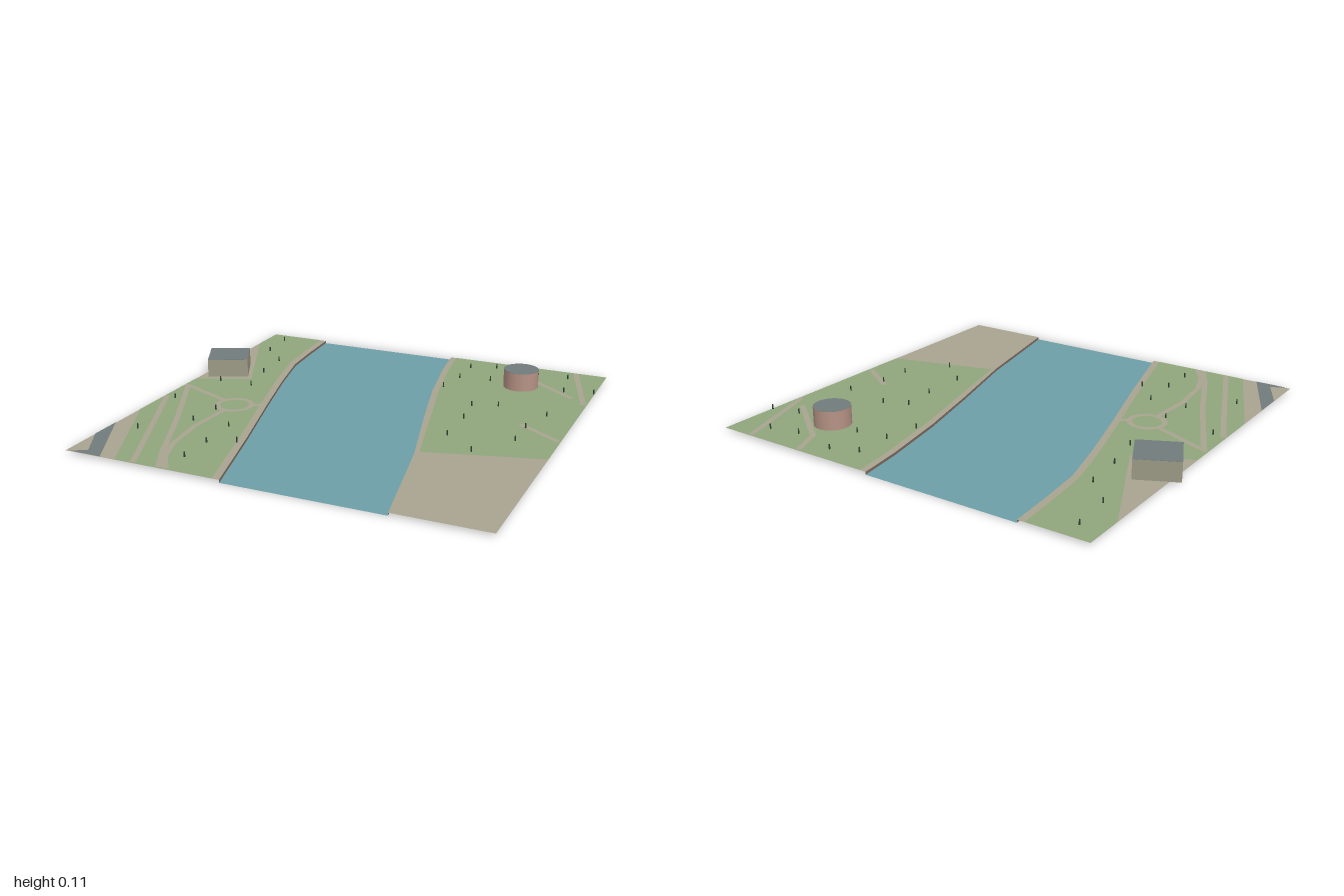
import * as THREE from 'three';

const mat = (name, color, double = true) => {
  const m = new THREE.MeshStandardMaterial({ color });
  m.name = name;
  if (double) m.side = THREE.DoubleSide;
  return m;
};

export function createModel() {
  const model = new THREE.Group();
  model.name = 'riverPark';
  const earth = mat('tan earth', 0xa8a48f), grass = mat('grass green', 0x8fa67b);
  const water = mat('river blue', 0x6d9ea8), slate = mat('slate grey', 0x717b7c);
  const stone = mat('olive wall', 0x9c9a84, false), brick = mat('pale brick', 0xb59284, false);
  const quay = mat('embankment brown', 0x7d6a60), leaf = mat('dark foliage', 0x2c4030, false);

  const GROUND = 0.013, GRASS = 0.014, PATH = 0.015;
  const W = -0.957, E = 1, N = -0.978, S = 0.978;

  const add = (name, geometry, material, parent = model) => {
    const mesh = new THREE.Mesh(geometry, material);
    mesh.name = name;
    parent.add(mesh);
    return mesh;
  };
  // Flat, upward facing polygon from [x, z] corners
  const flat = (name, pts, y, material) => {
    const shape = new THREE.Shape(pts.map(([x, z]) => new THREE.Vector2(x, -z)));
    return add(name, new THREE.ShapeGeometry(shape).rotateX(-Math.PI / 2).translate(0, y, 0), material);
  };
  const shift = (pts, d) => pts.map(([x, z]) => [x + d, z]);

  // River edges, north to south
  const left = [[-0.63, N], [-0.615, -0.74], [-0.595, -0.52], [-0.525, -0.235], [-0.435, 0.085], [-0.305, 0.525], [-0.18, S]];
  const right = [[0.14, N], [0.17, -0.76], [0.24, -0.405], [0.33, -0.05], [0.45, 0.39], [0.57, S]];

  // Water and the two banks
  flat('river', [...left, ...right.slice().reverse()], 0, water);
  flat('westBank', [[W, N], ...left, [W, S]], GROUND, earth);
  flat('eastBank', [[E, N], ...right, [E, S]], GROUND, earth);

  // Embankment walls along the river
  const wall = (name, pts) => {
    const pos = [], idx = [];
    pts.forEach(([x, z], i) => {
      pos.push(x, 0, z, x, GROUND, z);
      if (i) idx.push(2 * i - 2, 2 * i, 2 * i - 1, 2 * i - 1, 2 * i, 2 * i + 1);
    });
    const g = new THREE.BufferGeometry();
    g.setAttribute('position', new THREE.Float32BufferAttribute(pos, 3));
    g.setIndex(idx);
    g.computeVertexNormals();
    add(name, g, quay);
  };
  wall('westEmbankment', left.slice().reverse());
  wall('eastEmbankment', right);

  // Lawns
  flat('westLawn', [[W, N], ...shift(left, -0.035), [-0.7, S], [W, 0.41], [W, -0.09], [-0.69, -0.2], [W, -0.78]], GRASS, grass);
  flat('eastLawn', [[E, N], ...shift(right.slice(0, 4), 0.032), [0.465, 0.365], [E, 0.22]], GRASS, grass);

  // Paved corner
  flat('road', [[W, 0.61], [-0.775, S], [-0.94, S], [-0.865, 0.94], [W, 0.765]], PATH, slate);

  // Footpaths as ribbons of constant width
  const ribbon = (pts, width = 0.026) => {
    const a = [], b = [];
    pts.forEach(([x, z], i) => {
      const p = pts[Math.max(i - 1, 0)], q = pts[Math.min(i + 1, pts.length - 1)];
      const dx = q[0] - p[0], dz = q[1] - p[1], k = width / 2 / Math.hypot(dx, dz);
      a.push([x - dz * k, z + dx * k]);
      b.unshift([x + dz * k, z - dx * k]);
    });
    flat('footpath', [...a, ...b], PATH, earth);
  };
  ribbon([[-0.95, 0.015], [-0.9, 0.035], [-0.65, 0.14]]);
  ribbon([[-0.93, 0.03], [-0.71, 0.48], [-0.56, 0.82], [-0.48, 0.97]]);
  ribbon([[-0.945, 0.2], [-0.8, 0.53], [-0.61, 0.97]]);
  ribbon([[-0.58, 0.265], [-0.595, 0.5], [-0.57, 0.72], [-0.52, 0.86], [-0.445, 0.97]]);
  ribbon([[-0.49, 0.15], [-0.45, 0.12]]);
  ribbon([[0.54, -0.97], [0.6, -0.82], [0.91, -0.58]]);
  ribbon([[0.84, -0.97], [0.985, -0.51]]);
  ribbon([[0.775, -0.135], [0.99, 0.005]]);
  const ring = add('ringPath', new THREE.RingGeometry(0.07, 0.096, 32).rotateX(-Math.PI / 2), earth);
  ring.position.set(-0.57, PATH, 0.177);

  // Buildings: walls with a thin flat roof
  const H = 0.092;
  const block = new THREE.Group();
  block.name = 'squareBuilding';
  block.position.set(-0.864, GROUND, -0.279);
  block.rotation.y = 0.45;
  add('walls', new THREE.BoxGeometry(0.207, H, 0.207).translate(0, H / 2, 0), stone, block);
  add('roof', new THREE.BoxGeometry(0.207, 0.001, 0.207).translate(0, H + 0.0005, 0), slate, block);
  const drum = new THREE.Group();
  drum.name = 'roundBuilding';
  drum.position.set(0.626, GROUND, -0.663);
  add('walls', new THREE.CylinderGeometry(0.088, 0.088, H, 32).translate(0, H / 2, 0), brick, drum);
  add('roof', new THREE.CylinderGeometry(0.088, 0.088, 0.001, 32).translate(0, H + 0.0005, 0), slate, drum);
  model.add(block, drum);

  // Small slender trees
  const trees = [
    [-0.85, -0.88], [-0.83, -0.67], [-0.7, -0.53], [-0.68, -0.32], [-0.82, -0.11], [-0.64, -0.11], [-0.89, 0.21],
    [-0.62, 0.27], [-0.64, 0.44], [-0.45, 0.44], [-0.32, 0.59], [-0.44, 0.65], [-0.44, 0.83], [-0.82, 0.63],
    [0.3, -0.84], [0.43, -0.89], [0.82, -0.87], [0.67, -0.84], [0.3, -0.66], [0.46, -0.68], [0.85, -0.66],
    [0.995, -0.69], [0.27, -0.49], [0.61, -0.33], [0.49, -0.28], [0.86, -0.29], [0.51, -0.1], [0.81, -0.1],
    [0.51, 0.13], [0.81, 0.07], [0.67, 0.27],
  ];
  const treeGeometry = new THREE.CylinderGeometry(0.003, 0.004, 0.025, 6).translate(0, 0.0125, 0);
  trees.forEach(([x, z]) => add('tree', treeGeometry, leaf).position.set(x, GROUND, z));

  return model;
}
